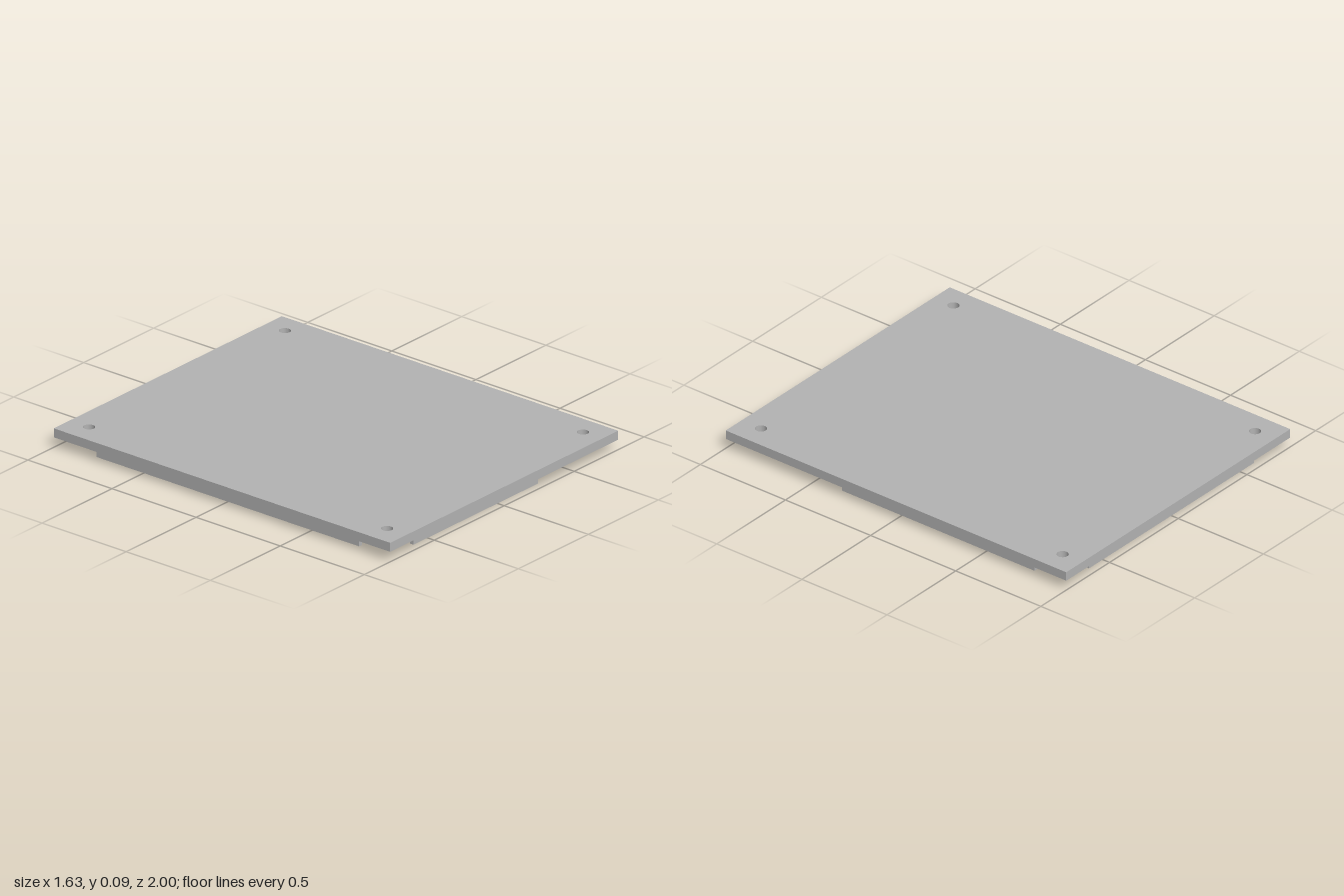
import * as THREE from 'three';

export function createModel() {
  const model = new THREE.Group();
  const grey = new THREE.MeshStandardMaterial({ color: 0xb2b2b2 });
  grey.name = 'grey';

  const ribHeight = 0.05, plateThickness = 0.045;
  const halfX = 0.815, halfZ = 1;

  // Flat plate with a round hole near each corner
  const outline = new THREE.Shape([
    new THREE.Vector2(-halfX, -halfZ), new THREE.Vector2(halfX, -halfZ),
    new THREE.Vector2(halfX, halfZ), new THREE.Vector2(-halfX, halfZ),
  ]);
  for (const x of [-0.7, 0.7]) {
    for (const z of [-0.886, 0.886]) {
      outline.holes.push(new THREE.Path().absarc(x, z, 0.028, 0, Math.PI * 2, true));
    }
  }
  const plateGeometry = new THREE.ExtrudeGeometry(outline, {
    depth: plateThickness, bevelEnabled: false, curveSegments: 32,
  });
  plateGeometry.rotateX(-Math.PI / 2).translate(0, ribHeight, 0);
  const plate = new THREE.Mesh(plateGeometry, grey);
  plate.name = 'plate';
  model.add(plate);

  // Thin locating ribs under the plate, given by their extents
  function addRib(name, x0, x1, z0, z1) {
    const rib = new THREE.Mesh(new THREE.BoxGeometry(x1 - x0, ribHeight, z1 - z0), grey);
    rib.position.set((x0 + x1) / 2, ribHeight / 2, (z0 + z1) / 2);
    rib.name = name;
    model.add(rib);
  }
  addRib('frontRib', -0.6, 0.29, 0.94, 0.96);
  addRib('backRib', -0.6, 0.6, -0.96, -0.94);
  addRib('leftRib', 0.753, 0.773, -0.78, 0.35);
  addRib('rightRib', -0.773, -0.753, -0.78, 0.78);

  return model;
}
